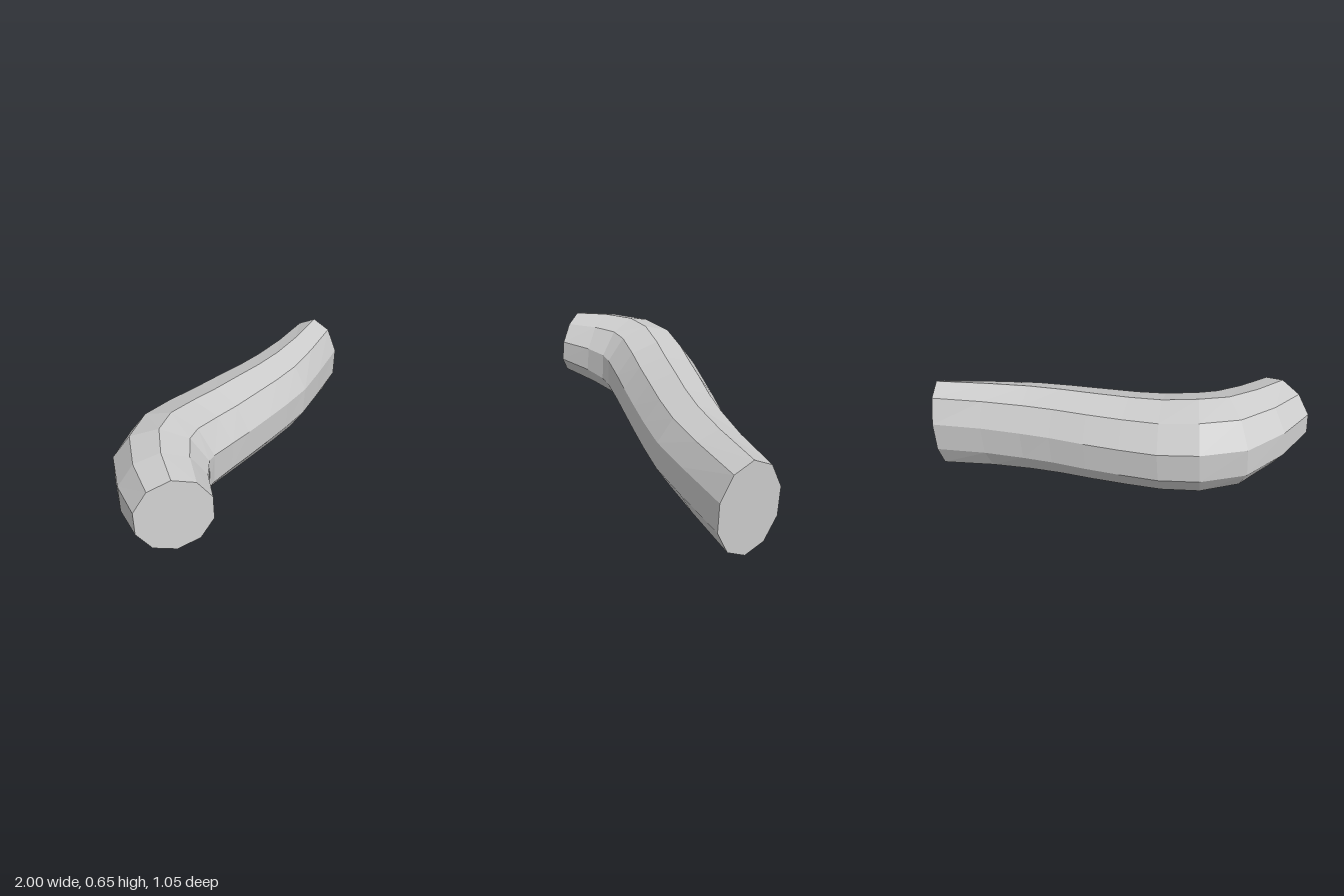
import * as THREE from 'three';

const SIDES = 10;

// Cross-sections along the bend: back edge x,z, front edge x,z, bottom y, top y
const SECTIONS = [
  [-0.997, 0.36, -0.652, 0.515, 0.25, 0.636],
  [-0.936, 0.144, -0.556, 0.358, 0.186, 0.65],
  [-0.818, -0.08, -0.475, 0.268, 0.14, 0.655],
  [-0.615, -0.225, -0.417, 0.235, 0.115, 0.647],
  [-0.406, -0.289, -0.257, 0.19, 0.095, 0.617],
  [-0.2, -0.32, -0.107, 0.155, 0.08, 0.598],
  [0, -0.347, 0.086, 0.112, 0.066, 0.585],
  [0.2, -0.369, 0.267, 0.07, 0.054, 0.573],
  [0.374, -0.396, 0.47, 0.016, 0.04, 0.563],
  [0.604, -0.444, 0.695, -0.08, 0.024, 0.553],
  [0.882, -0.524, 0.998, -0.217, 0.0, 0.545],
];

// Oval ring with a vertex at the top, leaning a little with the slope of the path
function makeRing([bx, bz, fx, fz, y0, y1], index) {
  const centre = new THREE.Vector3((bx + fx) / 2, (y0 + y1) / 2, (bz + fz) / 2);
  const side = new THREE.Vector3((fx - bx) / 2, 0, (fz - bz) / 2);
  const along = new THREE.Vector3(side.z, 0, -side.x).normalize();
  const up = new THREE.Vector3(0, (y1 - y0) / 2, 0);
  up.addScaledVector(along, up.y * (index === 0 ? 0.11 : index === SECTIONS.length - 1 ? 0.04 : 0.07));
  side.divideScalar(Math.sin(Math.PI * 0.4)); // widest corners sit at 72 degrees
  const points = [];
  for (let k = 0; k < SIDES; k++) {
    const a = (k / SIDES) * Math.PI * 2;
    points.push(centre.clone().addScaledVector(side, Math.sin(a)).addScaledVector(up, Math.cos(a)));
  }
  return { centre, points };
}

function makeMesh(name, corners, material) {
  const geometry = new THREE.BufferGeometry().setFromPoints(corners);
  geometry.computeVertexNormals();
  const mesh = new THREE.Mesh(geometry, material);
  mesh.name = name;
  return mesh;
}

export function createModel() {
  const group = new THREE.Group();
  group.name = 'bentTube';
  const grey = new THREE.MeshStandardMaterial({ color: 0xcccccc });
  grey.name = 'light grey';

  const rings = SECTIONS.map(makeRing);

  // Faceted wall
  const wall = [];
  for (let i = 0; i < rings.length - 1; i++) {
    const p = rings[i].points, q = rings[i + 1].points;
    for (let k = 0; k < SIDES; k++) {
      const n = (k + 1) % SIDES;
      wall.push(p[k], p[n], q[k], p[n], q[n], q[k]);
    }
  }
  group.add(makeMesh('tubeWall', wall, grey));

  // Flat end caps
  const cap = ({ centre, points }, flip) => points.flatMap((p, k) => {
    const n = points[(k + 1) % SIDES];
    return flip ? [centre, n, p] : [centre, p, n];
  });
  group.add(makeMesh('narrowEndCap', cap(rings[0], true), grey));
  group.add(makeMesh('wideEndCap', cap(rings[rings.length - 1], false), grey));

  return group;
}
